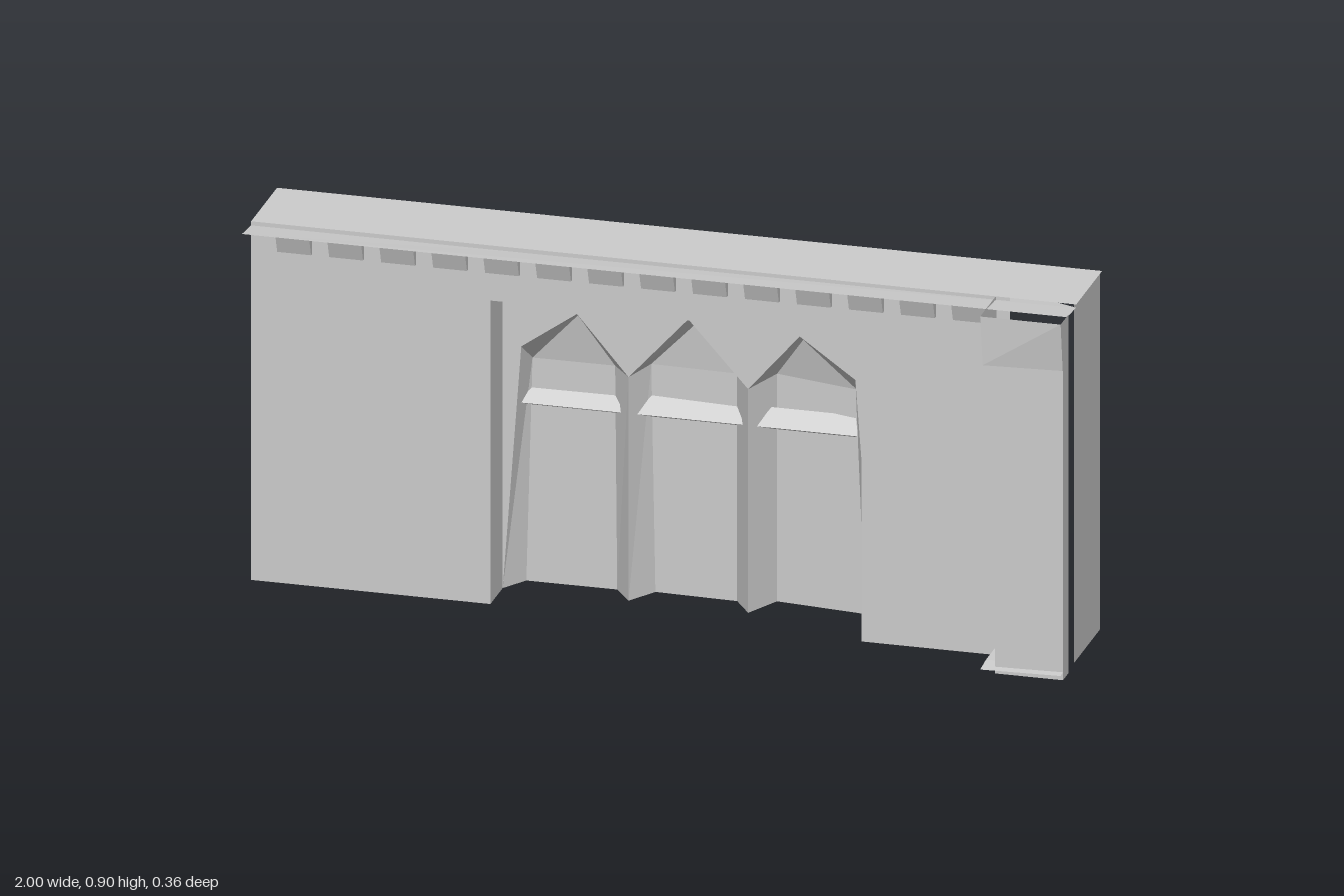
import * as THREE from 'three';

const material = new THREE.MeshStandardMaterial({ color: 0xcccccc, flatShading: true, side: THREE.DoubleSide });

// Thin sheets: each face is a convex loop of [x, y, z] corners
function sheets(name, faces) {
  const pos = [];
  for (const f of faces) {
    for (let i = 1; i < f.length - 1; i++) pos.push(...f[0], ...f[i], ...f[i + 1]);
  }
  const g = new THREE.BufferGeometry();
  g.setAttribute('position', new THREE.Float32BufferAttribute(pos, 3));
  g.computeVertexNormals();
  const mesh = new THREE.Mesh(g, material);
  mesh.name = name;
  return mesh;
}

// Upright sheet facing z, made from an outline
function panel(name, outline, z) {
  const shape = new THREE.Shape(outline.map(([x, y]) => new THREE.Vector2(x, y)));
  const mesh = new THREE.Mesh(new THREE.ShapeGeometry(shape), material);
  mesh.name = name;
  mesh.position.z = z;
  return mesh;
}

const level = (x0, x1, y, z0, z1) => [[x0, y, z1], [x1, y, z1], [x1, y, z0], [x0, y, z0]];
const side = (x, y0, y1, z0, z1) => [[x, y0, z1], [x, y0, z0], [x, y1, z0], [x, y1, z1]];
const facing = (x0, x1, y0, y1, z) => [[x0, y0, z], [x1, y0, z], [x1, y1, z], [x0, y1, z]];

export function createModel() {
  const model = new THREE.Group();
  model.name = 'arcadedFacade';

  const WALL = 0.045, BACK = -0.18, ARCH = -0.062;
  const L = -0.42, R = 0.48, LINTEL = 0.76, TOP = 0.898;

  // Front wall with a large rectangular opening
  model.add(panel('frontWall', [
    [-1, 0], [L, 0], [L, LINTEL], [R, LINTEL], [R, 0], [0.84, 0], [0.84, TOP], [-1, TOP],
  ], WALL));

  // Roof, tilted cornice sheet running in under it, and inner shelf above the opening
  model.add(sheets('roof', [level(-1, 1, TOP, BACK, WALL)]));
  model.add(sheets('cornice', [
    [[-1, 0.896, 0.125], [1, 0.896, 0.125], [1, 0.89, WALL], [0.77, 0.875, -0.08], [-1, 0.875, -0.08]],
  ]));
  model.add(sheets('innerShelf', [level(-1, 0.94, LINTEL, -0.1, WALL)]));

  // Right end wall and the opening's jambs
  model.add(sheets('endWall', [side(0.995, 0, TOP, BACK, WALL)]));
  model.add(sheets('jambs', [side(L, 0, 0.815, -0.12, WALL), side(R, 0, 0.815, -0.12, WALL)]));

  // Row of dentils, their faces leaning outward at the top
  const dentils = new THREE.Group();
  dentils.name = 'dentils';
  for (let i = 0; i < 14; i++) {
    const x = -0.893 + i * 0.126, x0 = x - 0.041, x1 = x + 0.041;
    const y0 = 0.832, y1 = 0.888, z0 = 0.055, z1 = 0.075;
    dentils.add(sheets('dentil', [
      [[x0, y0, z0], [x1, y0, z0], [x1, y1, z1], [x0, y1, z1]],
      [[x0, y0, WALL], [x0, y0, z0], [x0, y1, z1], [x0, y1, WALL]],
      [[x1, y0, z0], [x1, y0, WALL], [x1, y1, WALL], [x1, y1, z1]],
      level(x0, x1, y0, WALL, z0),
    ]));
  }
  model.add(dentils);

  // Spandrel above three pointed arches
  model.add(panel('spandrel', [
    [L, LINTEL], [L, 0], [-0.375, 0.61], [-0.24, 0.705], [-0.115, 0.56], [0.03, 0.72],
    [0.175, 0.56], [0.3, 0.705], [0.435, 0.61], [R, 0], [R, LINTEL],
  ], ARCH));

  // Arched bays: front outline, back outline, depth at left, apex and right, ledge span
  const bays = [
    {
      front: [[L, 0], [-0.375, 0.61], [-0.24, 0.705], [-0.115, 0.56], [-0.115, 0]],
      back: [[-0.38, 0], [-0.365, 0.56], [-0.245, 0.69], [-0.165, 0.56], [-0.16, 0]],
      z: [-0.124, -0.1, -0.125], ledge: [-0.385, -0.14],
    },
    {
      front: [[-0.115, 0], [-0.115, 0.56], [0.03, 0.72], [0.175, 0.56], [0.175, 0]],
      back: [[-0.07, 0], [-0.08, 0.57], [0.03, 0.685], [0.13, 0.57], [0.13, 0]],
      z: [-0.134, -0.12, -0.128], ledge: [-0.1, 0.155],
    },
    {
      front: [[0.175, 0], [0.175, 0.56], [0.3, 0.705], [0.435, 0.61], [R, 0]],
      back: [[0.22, 0], [0.22, 0.57], [0.3, 0.685], [0.42, 0.56], [0.44, 0]],
      z: [-0.152, -0.115, -0.128], ledge: [0.19, 0.435],
    },
  ];
  for (const { front, back, z, ledge } of bays) {
    const f = front.map(([x, y]) => [x, y, ARCH]);
    const b = back.map(([x, y], i) => [x, y, z[Math.sign(i - 2) + 1]]);
    const faces = [[b[0], b[4], b[3], b[1]], [b[1], b[3], b[2]]];
    for (let i = 0; i < 4; i++) faces.push([f[i], b[i], b[i + 1], f[i + 1]]);
    model.add(sheets('archedBay', faces));

    // Wedge ledge across the bay
    const [x0, x1] = ledge;
    const a = x0 + 0.02, c = x1 - 0.02;
    model.add(sheets('bayLedge', [
      [[x0, 0.46, -0.085], [x1, 0.46, -0.085], [c, 0.492, -0.135], [a, 0.492, -0.135]],
      [[a, 0.438, -0.135], [c, 0.438, -0.135], [x1, 0.46, -0.085], [x0, 0.46, -0.085]],
    ]));
  }

  // Corner pilaster
  model.add(sheets('pilaster', [
    facing(0.835, 1, 0, 0.825, 0.16),
    side(0.835, 0, 0.825, WALL, 0.16),
    side(1, 0, 0.825, 0.11, 0.16),
  ]));

  // Capital, open at the top, its right corner leaning in toward the pilaster
  model.add(sheets('capital', [
    [[0.81, 0.775, 0.176], [1, 0.775, 0.162], [1, TOP, 0.18], [0.805, TOP, 0.18]],
    [[0.81, 0.775, WALL], [0.81, 0.775, 0.176], [0.805, TOP, 0.18], [0.805, TOP, WALL]],
    [[1, 0.775, 0.162], [1, 0.825, 0.11], [1, TOP, 0.11], [1, TOP, 0.18]],
    [[0.81, 0.775, 0.176], [1, 0.775, 0.162], [1, 0.775, 0.12], [0.81, 0.775, 0.12]],
  ]));

  // Thin base plate around the pilaster's foot
  model.add(sheets('pilasterBase', [
    [[0.805, 0.014, 0.18], [1, 0.018, 0.18], [1, 0.023, 0.13], [0.805, 0.02, 0.13]],
    level(0.805, 0.84, 0.02, WALL, 0.13),
  ]));

  return model;
}
